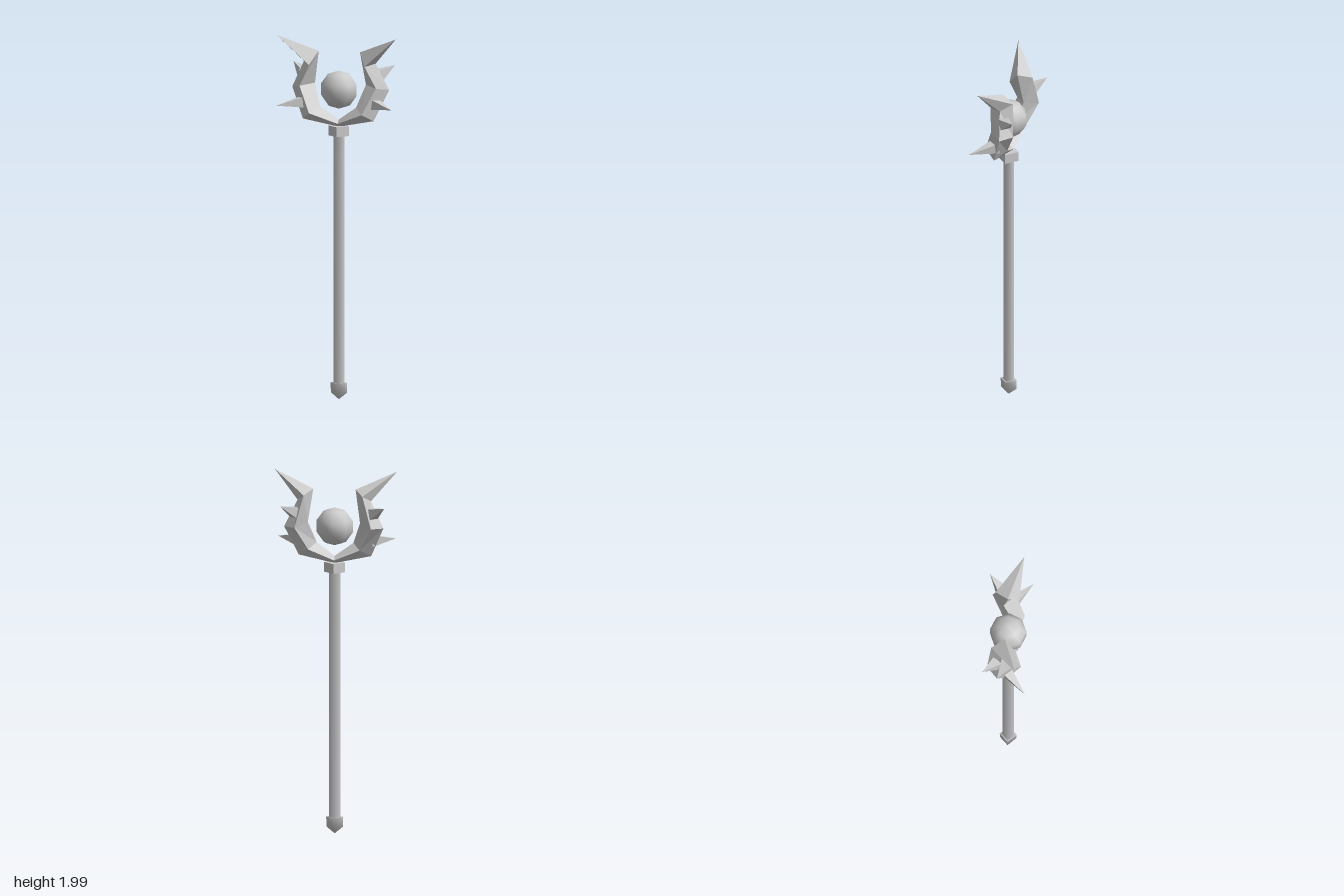
import * as THREE from 'three';

const smooth = new THREE.MeshStandardMaterial({ color: 0xcccccc });
const faceted = new THREE.MeshStandardMaterial({ color: 0xcccccc, flatShading: true });

function add(parent, name, geometry, material) {
  const mesh = new THREE.Mesh(geometry, material);
  mesh.name = name;
  parent.add(mesh);
  return mesh;
}

// Four-sided turned part with its corners on the x and z axes
function turned(profile) {
  return new THREE.LatheGeometry(profile.map(([x, y]) => new THREE.Vector2(x, y)), 4);
}

// Skin between four-cornered rings, closed to a point; side -1 mirrors it in x.
function loft(rings, tip, side) {
  const points = [...rings.flat(), tip].flatMap(([x, y, z]) => [x * side, y, z]);
  const index = [];
  const tri = (a, b, c) => index.push(...(side > 0 ? [a, c, b] : [a, b, c]));
  const last = rings.length - 1;
  for (let i = 0; i < 4; i++) {
    const j = (i + 1) % 4;
    for (let r = 0; r < last; r++) {
      const a = r * 4 + i, b = r * 4 + j;
      tri(a, b, b + 4);
      tri(a, b + 4, a + 4);
    }
    tri(last * 4 + i, last * 4 + j, rings.length * 4);
  }
  const geometry = new THREE.BufferGeometry();
  geometry.setAttribute('position', new THREE.Float32BufferAttribute(points, 3));
  geometry.setIndex(index);
  const flat = geometry.toNonIndexed();
  flat.computeVertexNormals();
  return flat;
}

// Four-sided thorn from a base centre to its tip
function addThorn(parent, name, base, tip, radius, side) {
  const a = new THREE.Vector3(base[0] * side, base[1], base[2]);
  const b = new THREE.Vector3(tip[0] * side, tip[1], tip[2]);
  const direction = b.clone().sub(a);
  const thorn = add(parent, name, new THREE.ConeGeometry(radius, direction.length(), 4, 1, true), faceted);
  thorn.position.copy(a).add(b).multiplyScalar(0.5);
  thorn.quaternion.setFromUnitVectors(new THREE.Vector3(0, 1, 0), direction.normalize());
}

export function createModel() {
  const staff = new THREE.Group();
  staff.name = 'staff';

  // Shaft with softly shaded flanges that meet the foot and the collar
  add(staff, 'shaft', turned([[0.046, 0.1], [0.031, 0.1], [0.031, 1.449], [0.056, 1.449]]), smooth);
  add(staff, 'footCap', turned([[0, 0.008], [0.045, 0.045], [0.046, 0.1]]), smooth);
  const collar = add(staff, 'collar', new THREE.CylinderGeometry(0.057, 0.057, 0.054, 4), faceted);
  collar.position.y = 1.478;

  // Floating orb
  const orb = add(staff, 'orb', new THREE.SphereGeometry(0.104, 8, 5), smooth);
  orb.position.y = 1.703;

  // Horn rings run inner, back, outer, front
  const rings = [
    [[0, 1.54, 0], [0, 1.52, -0.03], [0, 1.5, 0], [0, 1.52, 0.03]],
    [[0.1, 1.61, 0.02], [0.14, 1.58, -0.041], [0.197, 1.54, 0.015], [0.147, 1.58, 0.08]],
    [[0.142, 1.73, -0.035], [0.208, 1.71, -0.1], [0.27, 1.705, -0.041], [0.213, 1.72, 0.026]],
    [[0.115, 1.91, -0.01], [0.16, 1.885, -0.08], [0.2, 1.85, -0.02], [0.155, 1.84, 0.05]],
  ];
  for (const side of [1, -1]) {
    const horn = new THREE.Group();
    horn.name = side > 0 ? 'leftHorn' : 'rightHorn';
    add(horn, 'hornBlade', loft(rings, [0.333, 2, 0.063], side), faceted);
    addThorn(horn, 'frontThorn', [0.19, 1.63, 0.0], [0.32, 1.62, 0.115], 0.044, side);
    addThorn(horn, 'backThorn', [0.21, 1.785, -0.05], [0.283, 1.83, -0.12], 0.042, side);
    staff.add(horn);
  }
  return staff;
}
